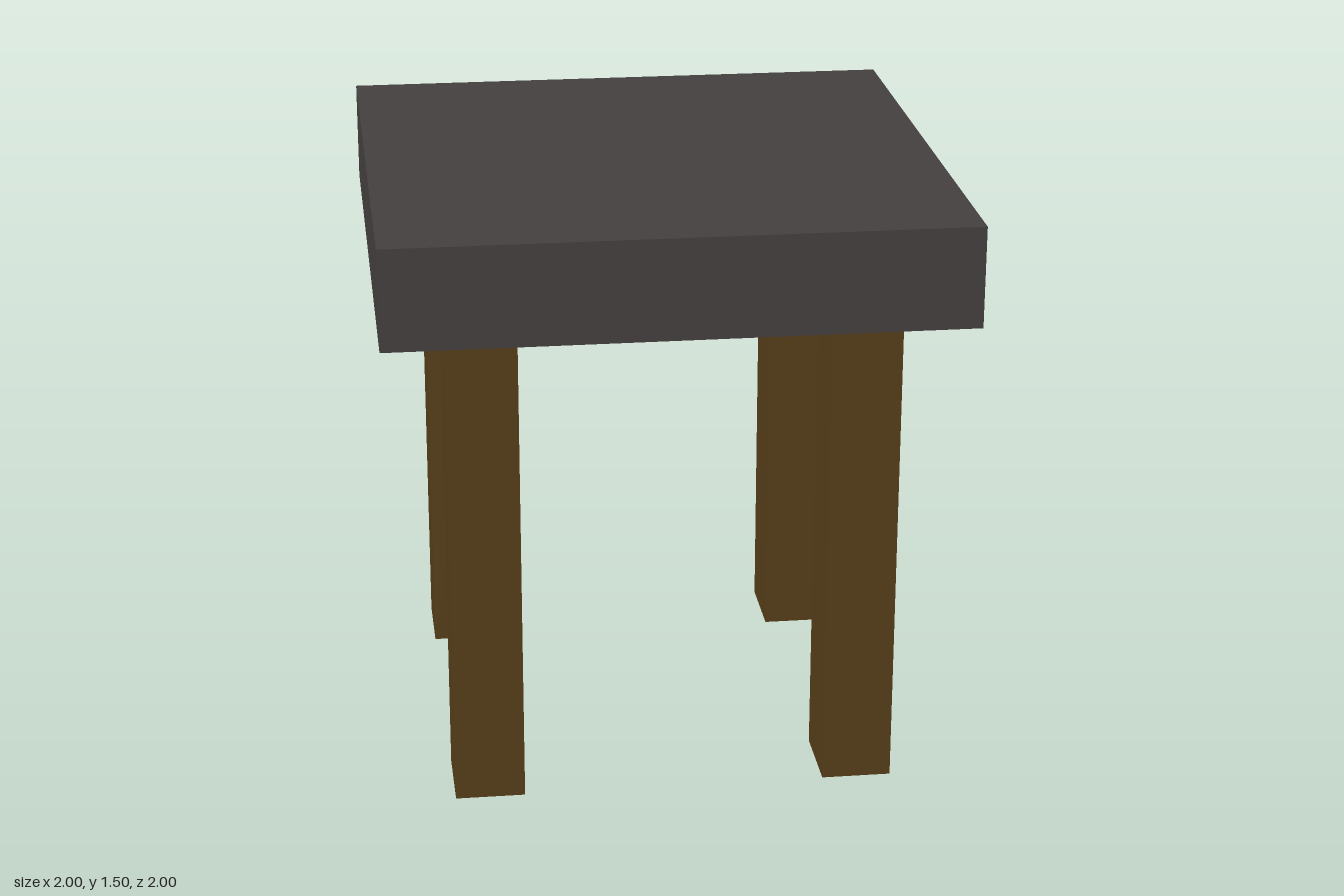
import * as THREE from 'three';

const SIDE = Math.SQRT2;   // table top edge length
const TOP_Y = 1.5;
const TOP_H = 0.25;
const LEG = { w: 0.173, h: 1.29, d: 0.203 };
const LEG_OFFSET = 0.464;  // leg centre from the middle, along each edge
const LEG_SHIFT = -0.0145; // all legs sit slightly off centre

export function createModel() {
  const model = new THREE.Group();
  model.name = 'table';

  const topMaterial = new THREE.MeshStandardMaterial({ color: 0x454040, side: THREE.DoubleSide });
  const legMaterial = new THREE.MeshStandardMaterial({ color: 0x573f1a });

  // Everything is built square to the axes, then turned to stand on a corner
  const turned = new THREE.Group();
  turned.name = 'turnedTable';
  turned.rotation.y = Math.PI / 4;
  model.add(turned);

  // Table top: a shallow box, hollow and open underneath
  const topGeometry = new THREE.BoxGeometry(SIDE, TOP_H, SIDE);
  const index = Array.from(topGeometry.index.array);
  index.splice(18, 6); // drop the bottom face
  topGeometry.setIndex(index);
  topGeometry.clearGroups();
  const top = new THREE.Mesh(topGeometry, topMaterial);
  top.name = 'tableTop';
  top.position.y = TOP_Y - TOP_H / 2;
  turned.add(top);

  // Four straight legs reaching just inside the top's rim
  const legGeometry = new THREE.BoxGeometry(LEG.w, LEG.h, LEG.d);
  for (const sx of [-1, 1]) {
    for (const sz of [-1, 1]) {
      const leg = new THREE.Mesh(legGeometry, legMaterial);
      leg.name = `${sz > 0 ? 'front' : 'back'}${sx > 0 ? 'Left' : 'Right'}Leg`;
      leg.position.set(sx * LEG_OFFSET, LEG.h / 2, sz * LEG_OFFSET + LEG_SHIFT);
      turned.add(leg);
    }
  }

  return model;
}
